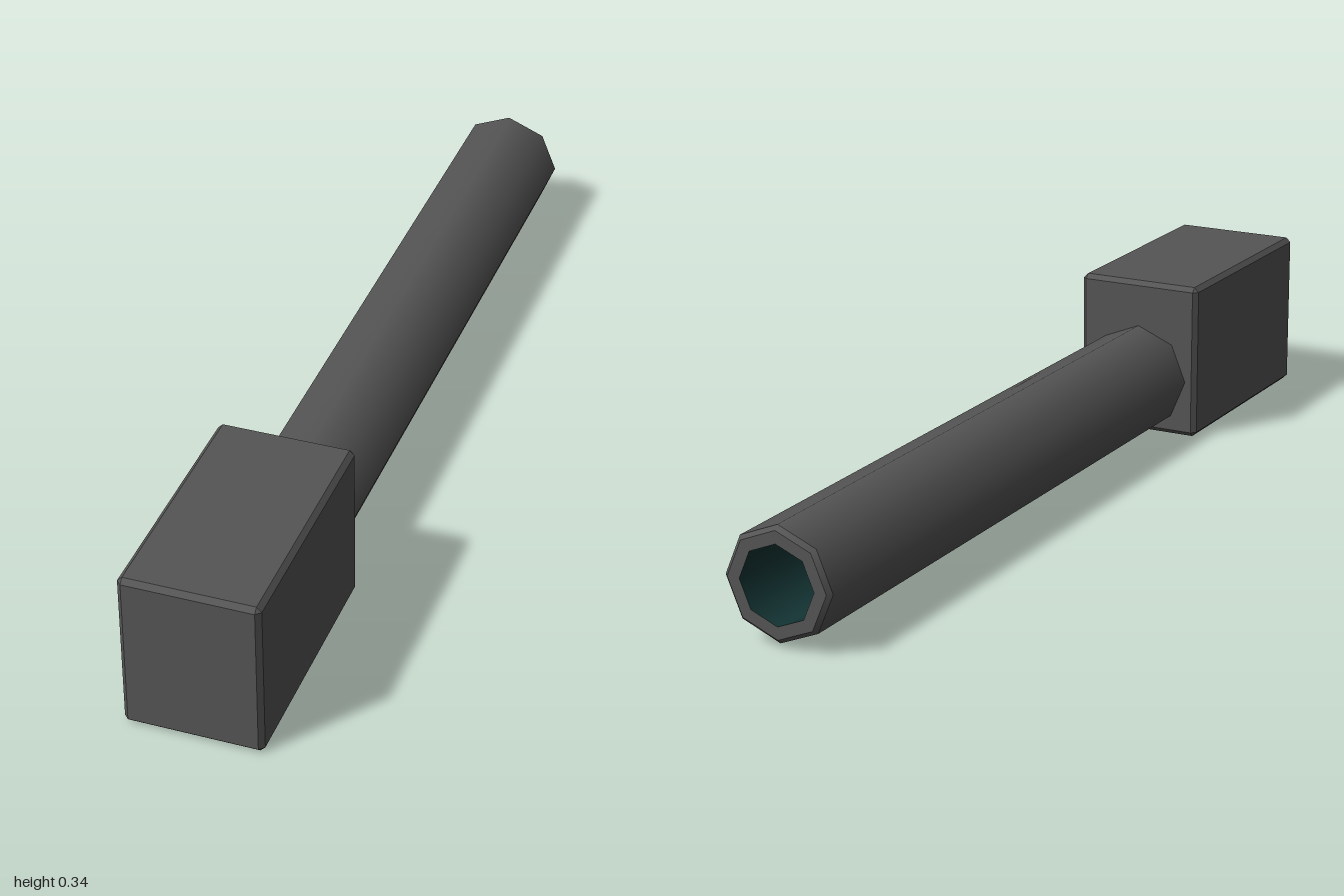
import * as THREE from 'three';
import { ConvexGeometry } from 'three/addons/geometries/ConvexGeometry.js';

const darkGrey = new THREE.MeshStandardMaterial({ color: 0x555555 });
darkGrey.name = 'darkGrey';
const deepTeal = new THREE.MeshStandardMaterial({ color: 0x143434 });
deepTeal.name = 'deepTeal';

// Box with all twelve edges chamfered
function chamferedBox(w, h, d, c) {
  const half = [w / 2, h / 2, d / 2];
  const points = [];
  for (const sx of [-1, 1]) for (const sy of [-1, 1]) for (const sz of [-1, 1]) {
    // each corner becomes three points, one on each adjoining face
    for (let axis = 0; axis < 3; axis++) {
      const [x, y, z] = half.map((v, i) => (i === axis ? v : v - c));
      points.push(new THREE.Vector3(sx * x, sy * y, sz * z));
    }
  }
  return new ConvexGeometry(points);
}

// Eight-sided turned surface running toward -z; profile is [radius, -z]
function turned(name, profile, material) {
  const geometry = new THREE.LatheGeometry(profile.map(([r, t]) => new THREE.Vector2(r, t)), 8);
  geometry.rotateX(-Math.PI / 2);
  const mesh = new THREE.Mesh(geometry, material);
  mesh.name = name;
  return mesh;
}

export function createModel() {
  const model = new THREE.Group();
  model.name = 'blockWithTube';

  // Front block
  const block = new THREE.Mesh(chamferedBox(0.28, 0.34, 0.52, 0.01), darkGrey);
  block.name = 'block';
  block.position.set(0, 0.171, 0.74);
  model.add(block);

  // Hollow tube, each band kept separate so its edges stay crisp
  const tube = new THREE.Group();
  tube.name = 'tube';
  tube.position.y = 0.125;
  const R = 0.115, r = 0.08, c = 0.009;
  tube.add(
    turned('tubeWall', [[R, -0.49], [R, 1 - c]], darkGrey),
    turned('outerChamfer', [[R, 1 - c], [R - c, 1]], darkGrey),
    turned('endRing', [[R - c, 1], [r, 1]], darkGrey),
    turned('boreWall', [[r, 1], [r, 0.6]], deepTeal),
    turned('boreFloor', [[r, 0.6], [0, 0.6]], deepTeal),
  );
  model.add(tube);

  return model;
}
